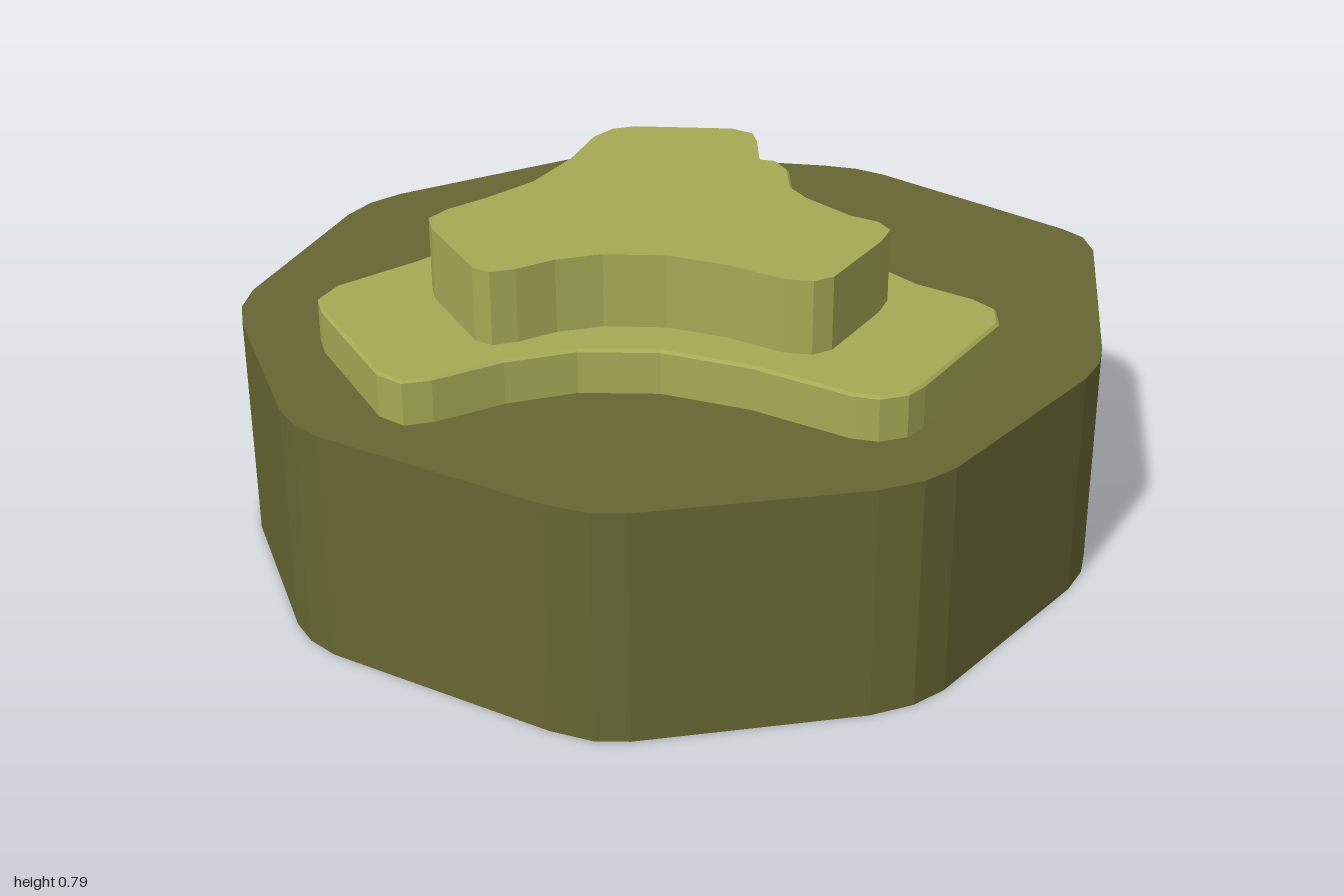
import * as THREE from 'three';

const baseMaterial = new THREE.MeshStandardMaterial({ color: 0x666633 });
baseMaterial.name = 'dark olive';
const tierMaterial = new THREE.MeshStandardMaterial({ color: 0xa5aa55 });
tierMaterial.name = 'light olive';

// Outlines seen from above, as x, z pairs
const baseOutline = [
  [-0.225, -0.955], [0.257, -0.922], [0.353, -0.896], [0.42, -0.848],
  [0.78, -0.505], [0.834, -0.44], [0.866, -0.366],
  [0.995, 0.163], [1, 0.233], [0.963, 0.307],
  [0.604, 0.709], [0.545, 0.762], [0.47, 0.8],
  [-0.01, 0.944], [-0.096, 0.95], [-0.193, 0.928],
  [-0.64, 0.73], [-0.7, 0.687], [-0.754, 0.607],
  [-0.984, 0.115], [-1, 0.04], [-0.995, -0.035],
  [-0.882, -0.463], [-0.845, -0.548], [-0.786, -0.618],
  [-0.396, -0.906], [-0.315, -0.944],
];
const lowerOutline = [
  [0.096, -0.655], [0.166, -0.671], [0.235, -0.655],
  [0.5, -0.447], [0.542, -0.398], [0.53, -0.329],
  [0.465, -0.227], [0.4, -0.11], [0.353, 0.03], [0.332, 0.21], [0.348, 0.388],
  [0.396, 0.52], [0.4, 0.586], [0.358, 0.644],
  [0.043, 0.778], [-0.01, 0.791], [-0.07, 0.773], [-0.107, 0.73],
  [-0.198, 0.516], [-0.31, 0.35], [-0.449, 0.249], [-0.599, 0.206],
  [-0.76, 0.195], [-0.818, 0.174], [-0.84, 0.11],
  [-0.797, -0.227], [-0.775, -0.291], [-0.711, -0.329],
  [-0.503, -0.35], [-0.316, -0.388], [-0.139, -0.463], [-0.005, -0.548],
];
const upperOutline = [
  [0.02, -0.42], [0.086, -0.441], [0.139, -0.425],
  [0.32, -0.281], [0.342, -0.227], [0.32, -0.179],
  [0.257, -0.083], [0.214, 0.03], [0.198, 0.174], [0.214, 0.307],
  [0.242, 0.372], [0.235, 0.42], [0.182, 0.457],
  [-0.016, 0.548], [-0.064, 0.543], [-0.107, 0.5],
  [-0.16, 0.377], [-0.235, 0.265], [-0.342, 0.184], [-0.438, 0.152],
  [-0.53, 0.147], [-0.583, 0.131], [-0.599, 0.088],
  [-0.567, -0.142], [-0.545, -0.195], [-0.487, -0.217],
  [-0.385, -0.227], [-0.246, -0.254], [-0.1, -0.329],
];

// Upright slab between two heights, with an optional fine bevel on its rims
function slab(name, outline, bottom, top, material, bevel = 0) {
  const shape = new THREE.Shape(outline.map(([x, z]) => new THREE.Vector2(x, -z)));
  const geometry = new THREE.ExtrudeGeometry(shape, {
    depth: top - bottom - 2 * bevel,
    bevelEnabled: bevel > 0,
    bevelThickness: bevel,
    bevelSize: bevel,
    bevelOffset: -bevel,
    bevelSegments: 1,
  });
  geometry.rotateX(-Math.PI / 2);
  geometry.translate(0, bottom + bevel, 0);
  const mesh = new THREE.Mesh(geometry, material);
  mesh.name = name;
  return mesh;
}

export function createModel() {
  const model = new THREE.Group();
  model.name = 'steppedPlatform';
  model.add(
    slab('base', baseOutline, 0, 0.52, baseMaterial),
    slab('lowerTier', lowerOutline, 0.51, 0.62, tierMaterial, 0.006),
    slab('upperTier', upperOutline, 0.61, 0.785, tierMaterial),
  );
  return model;
}
